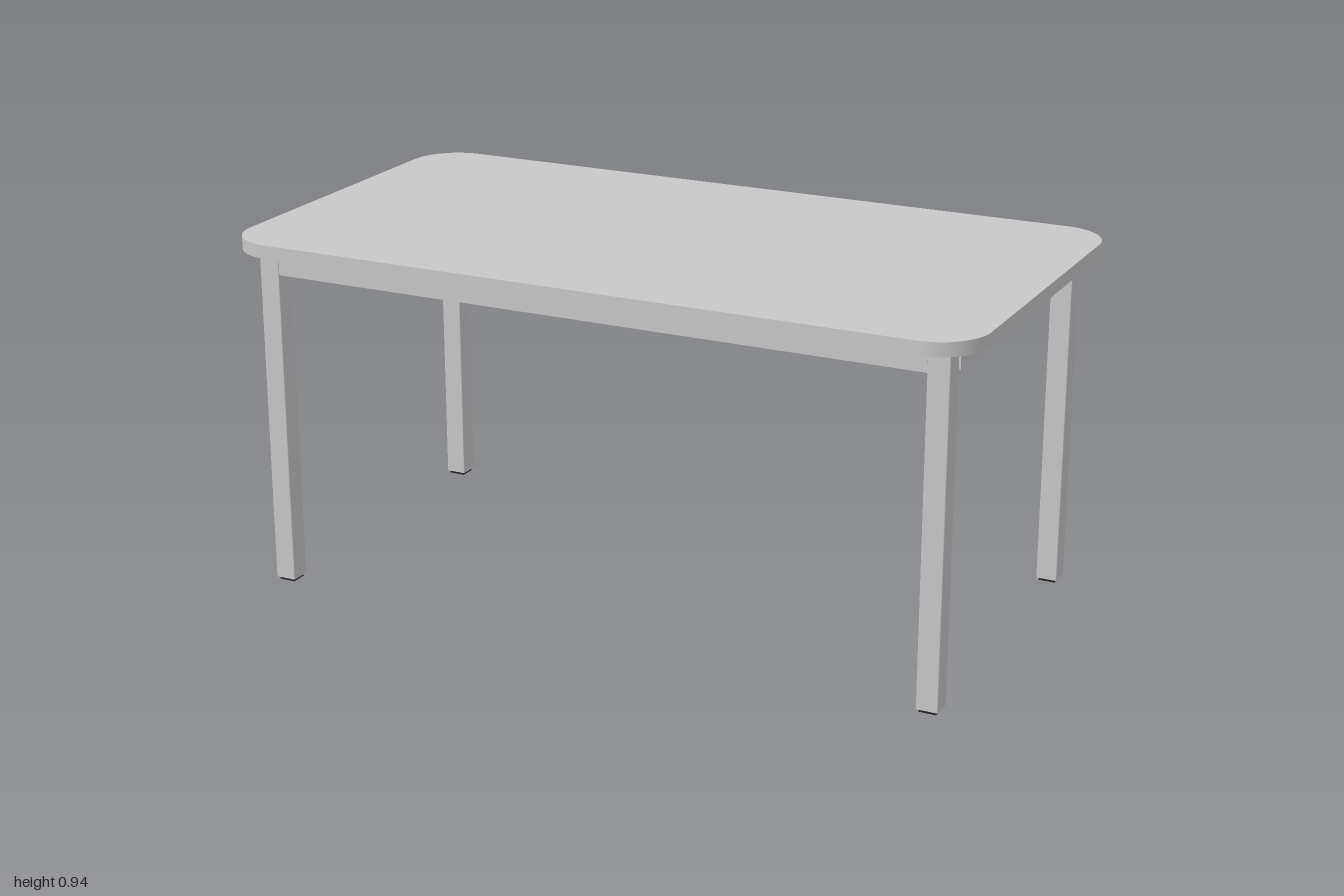
import * as THREE from 'three';

const lightGrey = new THREE.MeshStandardMaterial({ color: 0xc8c8c8 });
const darkGreen = new THREE.MeshStandardMaterial({ color: 0x333c33 });
const black = new THREE.MeshStandardMaterial({ color: 0x222222 });
lightGrey.name = 'light grey';
darkGreen.name = 'dark green';
black.name = 'black';

const LEG_X = 0.903, LEG_Z = 0.44, LEG = 0.056;

function add(parent, name, geometry, material, x, y, z) {
  const mesh = new THREE.Mesh(geometry, material);
  mesh.name = name;
  mesh.position.set(x, y, z);
  parent.add(mesh);
  return mesh;
}
const box = (w, h, d) => new THREE.BoxGeometry(w, h, d);

// Rounded rectangle centred on the origin
function roundedRect(w, h, r) {
  const s = new THREE.Shape();
  s.absarc(w / 2 - r, h / 2 - r, r, 0, Math.PI / 2);
  s.absarc(-w / 2 + r, h / 2 - r, r, Math.PI / 2, Math.PI);
  s.absarc(-w / 2 + r, -h / 2 + r, r, Math.PI, Math.PI * 1.5);
  s.absarc(w / 2 - r, -h / 2 + r, r, Math.PI * 1.5, Math.PI * 2);
  s.closePath();
  return s;
}

// Extruded slab lying flat, from y = 0 up to the given height
function slab(shape, height) {
  return new THREE.ExtrudeGeometry(shape, { depth: height, bevelEnabled: false, curveSegments: 16 })
    .rotateX(-Math.PI / 2);
}

// One rail of length len along x, its outer face towards +z at z = 0
function makeRail(name, len) {
  const rail = new THREE.Group();
  rail.name = name;
  add(rail, 'apron', box(len, 0.06, 0.012), lightGrey, 0, 0.875, -0.006);
  add(rail, 'innerWeb', box(len, 0.06, 0.006), darkGreen, 0, 0.875, -0.015);
  add(rail, 'lowerLip', box(len, 0.006, 0.026), darkGreen, 0, 0.846, -0.025);
  add(rail, 'upperLip', box(len, 0.004, 0.026), darkGreen, 0, 0.902, -0.025);
  add(rail, 'lipEdge', box(len, 0.008, 0.003), black, 0, 0.846, -0.0395);
  add(rail, 'centreTab', box(0.03, 0.006, 0.05), black, 0, 0.898, -0.06);
  // Small screws along the web
  for (const t of [-0.3, 0, 0.3]) {
    add(rail, 'screw', new THREE.CylinderGeometry(0.004, 0.004, 0.004, 10).rotateX(Math.PI / 2),
      black, t * len, 0.875, -0.02);
  }
  return rail;
}

export function createModel() {
  const table = new THREE.Group();
  table.name = 'table';

  add(table, 'tableTop', slab(roundedRect(2, 1.062, 0.13), 0.035), lightGrey, 0, 0.905, 0);

  // Rails between the legs
  for (const s of [1, -1]) {
    const long = makeRail(s > 0 ? 'frontRail' : 'backRail', 2 * LEG_X - LEG);
    long.position.z = s * 0.466;
    long.rotation.y = s > 0 ? 0 : Math.PI;
    const short = makeRail(s > 0 ? 'leftRail' : 'rightRail', 2 * LEG_Z - LEG);
    short.position.x = s * 0.935;
    short.rotation.y = s * Math.PI / 2;
    table.add(long, short);
  }

  // Legs with feet and corner fixings
  const legGeometry = slab(roundedRect(LEG, LEG, 0.003), 0.892);
  for (const sx of [1, -1]) for (const sz of [1, -1]) {
    const corner = new THREE.Group();
    corner.name = (sz > 0 ? 'front' : 'back') + (sx > 0 ? 'Left' : 'Right') + 'Leg';
    corner.position.set(sx * LEG_X, 0, sz * LEG_Z);
    add(corner, 'leg', legGeometry, lightGrey, 0, 0.008, 0);
    add(corner, 'foot', box(0.044, 0.009, 0.044), black, 0, 0.0045, 0);

    // Diagonal plate and two bolts just inside the leg
    const fixing = new THREE.Group();
    fixing.name = 'cornerFixing';
    fixing.position.set(-sx * 0.046, 0, -sz * 0.054);
    fixing.rotation.y = sx * sz * Math.PI / 4;
    add(fixing, 'plate', box(0.062, 0.007, 0.022), black, 0, 0.834, 0);
    for (const t of [-0.02, 0.02]) {
      add(fixing, 'bolt', new THREE.CylinderGeometry(0.004, 0.004, 0.08, 12), black, t, 0.865, 0);
      add(fixing, 'boltHead', new THREE.CylinderGeometry(0.008, 0.006, 0.01, 12), black, t, 0.828, 0);
    }
    corner.add(fixing);
    table.add(corner);
  }
  return table;
}
